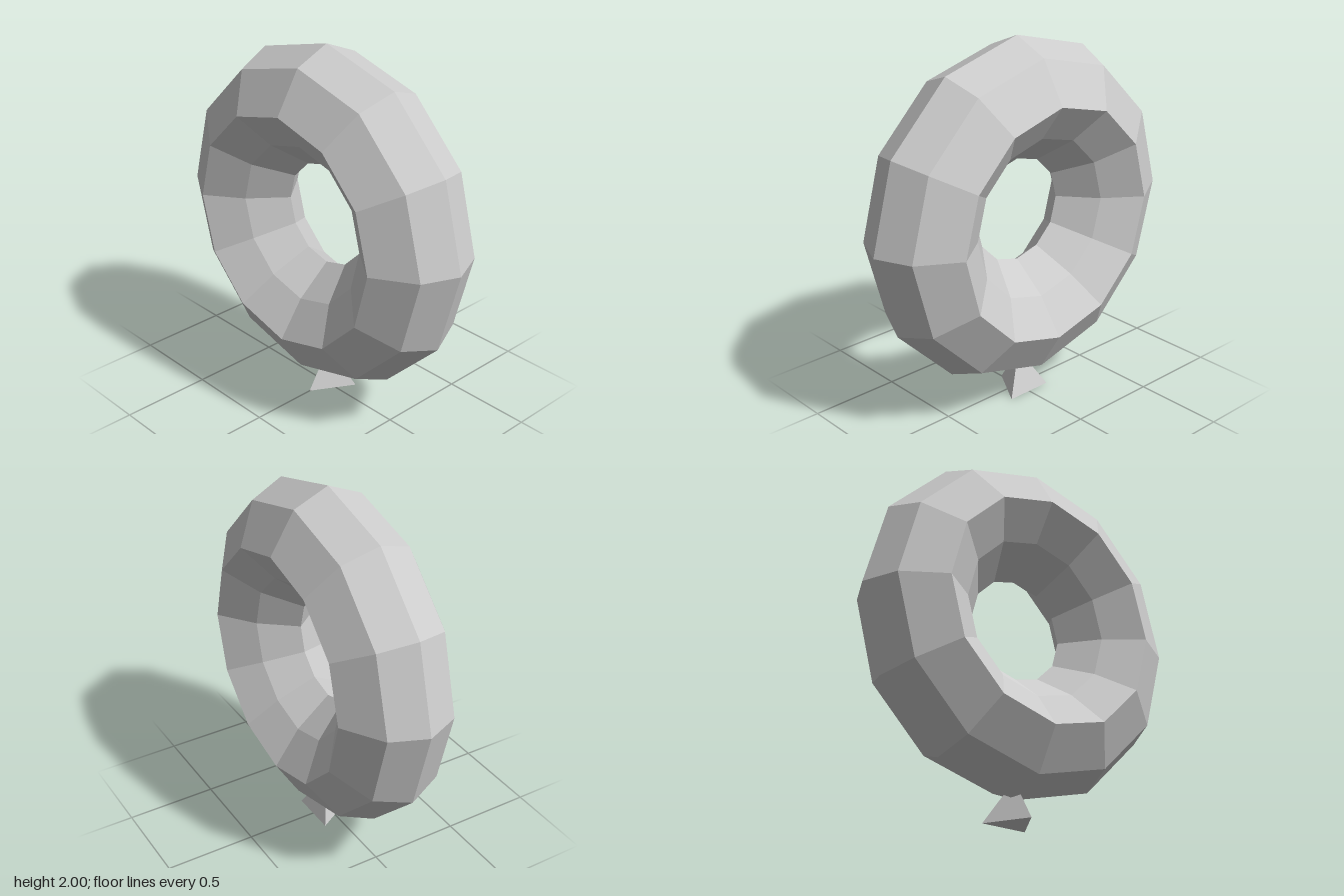
import * as THREE from 'three';

// Split shared vertices so every face is shaded flat
function faceted(geometry) {
  const flat = geometry.toNonIndexed();
  flat.computeVertexNormals();
  return flat;
}

function addPart(group, name, geometry, material) {
  const mesh = new THREE.Mesh(faceted(geometry), material);
  mesh.name = name;
  group.add(mesh);
  return mesh;
}

export function createModel() {
  const group = new THREE.Group();
  group.name = 'ringBalloon';

  const grey = new THREE.MeshStandardMaterial({ color: 0xcccccc });
  grey.name = 'light grey';

  // Ring: eight-sided closed section (radius, depth) swept in twelve steps
  const half = [[0.285, 0], [0.44, 0.19], [0.635, 0.33], [0.857, 0.195], [0.94, 0]];
  const section = [
    ...half.map(([r, d]) => new THREE.Vector2(r, -d)),
    ...half.slice(0, -1).reverse().map(([r, d]) => new THREE.Vector2(r, d)),
  ];
  const ring = new THREE.LatheGeometry(section, 12);
  ring.rotateX(Math.PI / 2);
  addPart(group, 'ring', ring, grey).position.y = 1.06;

  // Knot: three-sided pyramid, edge forward, its tip hidden inside the ring
  const height = 0.225;
  const knot = new THREE.ConeGeometry(0.153, height, 3);
  const p = knot.attributes.position;
  for (let i = 0; i < p.count; i++) {
    if (p.getY(i) > 0) p.setZ(i, p.getZ(i) + 0.013);
  }
  addPart(group, 'knot', knot, grey).position.set(0, height / 2, -0.023);

  return group;
}
